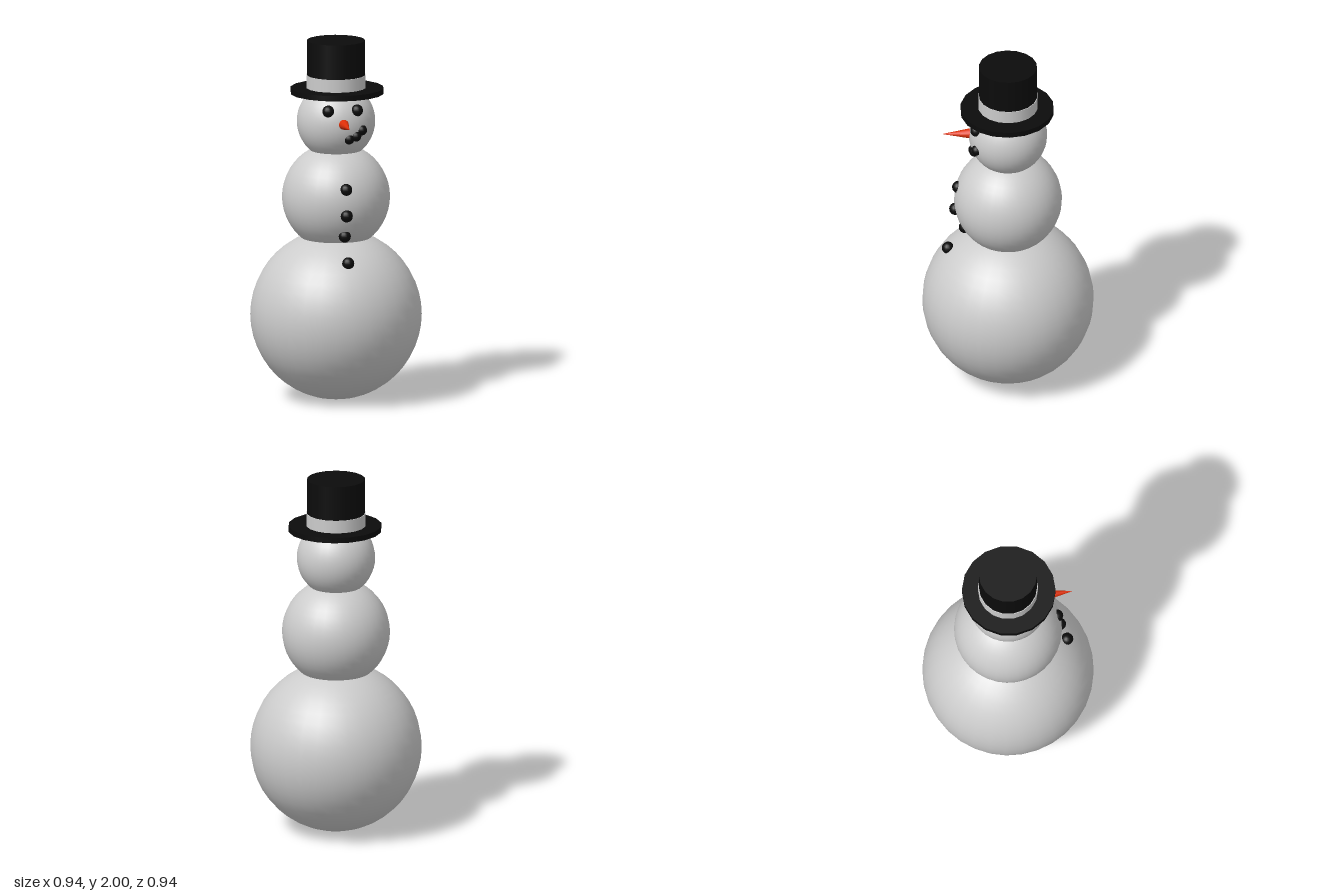
import * as THREE from 'three';

const grey = new THREE.MeshStandardMaterial({ color: 0xcccccc });
const black = new THREE.MeshStandardMaterial({ color: 0x0b0b0b });
const orange = new THREE.MeshStandardMaterial({ color: 0xdd2f08 });

export function createModel() {
  const model = new THREE.Group();
  model.name = 'snowman';

  function add(name, geometry, material, x, y, z) {
    const mesh = new THREE.Mesh(geometry, material);
    mesh.name = name;
    mesh.position.set(x, y, z);
    model.add(mesh);
    return mesh;
  }
  const ball = (name, r, y) => add(name, new THREE.SphereGeometry(r, 32, 24), grey, 0, y, 0);
  const coal = (name, r, x, y, z) => add(name, new THREE.SphereGeometry(r, 14, 10), black, x, y, z);
  // 18-sided drum with corners on the x axis, given by its bottom and top heights
  const drum = (name, r, y0, y1, material, offset = 0) => add(name,
    new THREE.CylinderGeometry(r, r, y1 - y0, 18).rotateY(Math.PI / 2),
    material, offset, (y0 + y1) / 2, offset);

  // Three stacked snowballs
  ball('lowerBody', 0.47, 0.475);
  ball('upperBody', 0.296, 1.13);
  ball('head', 0.215, 1.552);

  // Top hat
  drum('hatBrim', 0.257, 1.707, 1.737, black, 0.005);
  drum('hatCrown', 0.16, 1.72, 2, black);
  drum('hatBand', 0.164, 1.735, 1.808, grey);

  // Eyes
  coal('rightEye', 0.033, -0.08, 1.638, 0.178);
  coal('leftEye', 0.033, 0.081, 1.638, 0.178);

  // Lopsided smile
  [[0.034, 1.482, 0.19], [0.074, 1.496, 0.187], [0.108, 1.527, 0.177]]
    .forEach(([x, y, z], i) => coal('mouth' + (i + 1), 0.029, x, y, z));

  // Carrot nose
  const nose = new THREE.ConeGeometry(0.033, 0.18, 14).rotateX(Math.PI / 2);
  add('nose', nose, orange, 0, 1.567, 0.272);

  // Buttons
  [[1.215, 0.273], [1.072, 0.289], [0.95, 0.236], [0.816, 0.329]]
    .forEach(([y, z], i) => coal('button' + (i + 1), 0.034, 0, y, z));

  return model;
}
